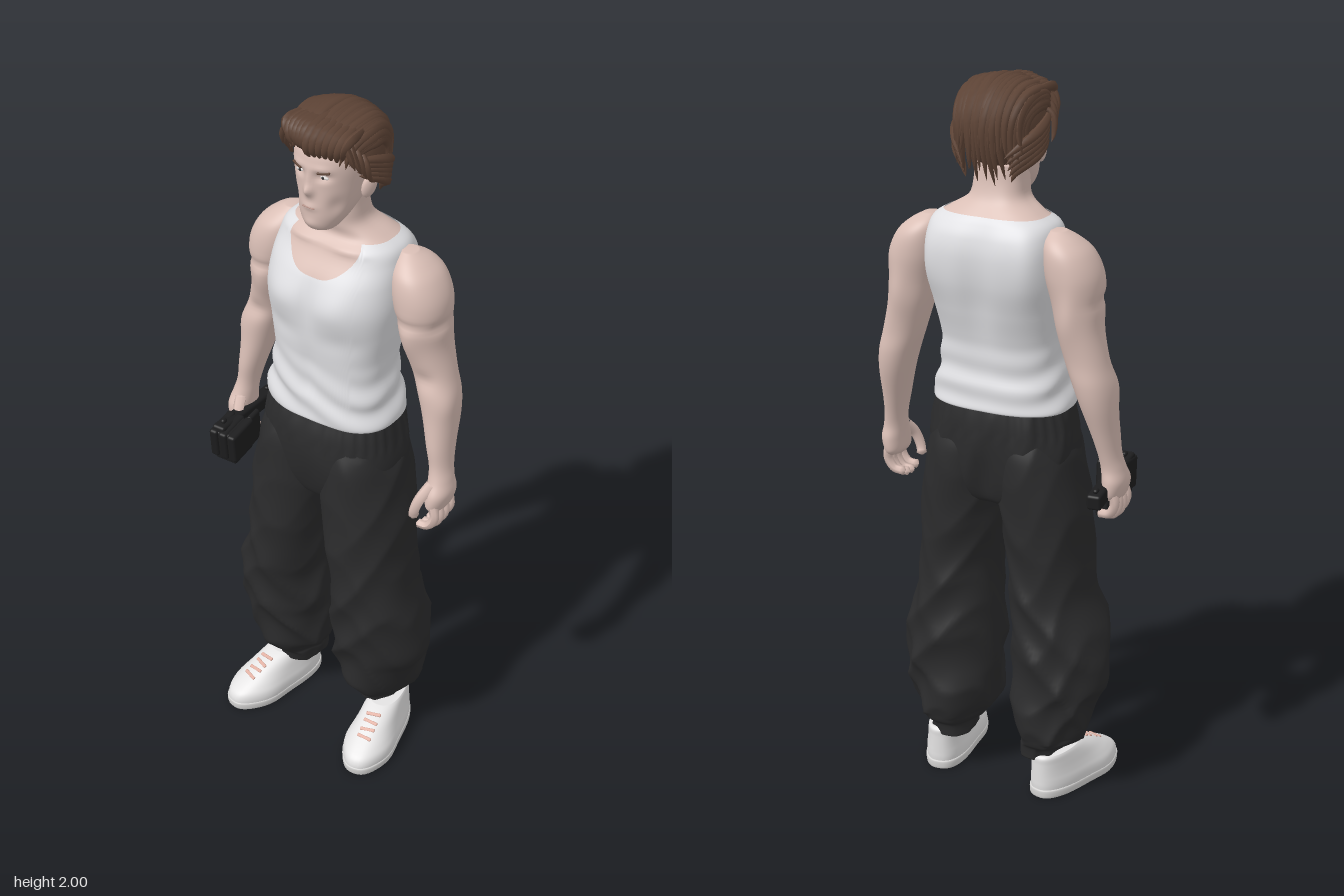
import * as THREE from 'three';
import { RoundedBoxGeometry } from 'three/addons/geometries/RoundedBoxGeometry.js';

const mat = (name, color) => Object.assign(new THREE.MeshStandardMaterial({ color }), { name });

// Smooth skin over rows of [y, xMin, xMax, zMin, zMax], listed from bottom to top
function loft(rows, { seg = 48, sub = 5, e = 2.2, warp, limit, open = false } = {}) {
  const n = rows.length - 1, count = n * sub;
  const at = t => {
    const i = Math.min(n - 1, Math.floor(t)), f = t - i;
    return rows[i].map((b, k) => {
      const a = rows[Math.max(0, i - 1)][k], c = rows[i + 1][k], d = rows[Math.min(n, i + 2)][k];
      return b + 0.5 * f * (c - a + f * (2 * a - 5 * b + 4 * c - d + f * (3 * (b - c) + d - a)));
    });
  };
  const pos = [], idx = [];
  const pw = v => Math.sign(v) * Math.abs(v) ** (2 / e);
  const top = [];
  for (let j = 0; j < seg; j++) {
    let m = n;
    if (limit) while (at(m)[0] > limit(j / seg * Math.PI * 2)) m -= 0.01;
    top.push(m);
  }
  for (let i = 0; i <= count; i++) for (let j = 0; j < seg; j++) {
    const a = j / seg * Math.PI * 2, [y, x0, x1, z0, z1] = at(top[j] * i / count);
    const k = warp ? warp(a, y) : 0;
    pos.push((x0 + x1) / 2 + pw(Math.cos(a)) * ((x1 - x0) / 2 + k), y,
      (z0 + z1) / 2 + pw(Math.sin(a)) * ((z1 - z0) / 2 + k));
  }
  for (let i = 0; i < count; i++) for (let j = 0; j < seg; j++) {
    const a = i * seg + j, b = i * seg + (j + 1) % seg, c = a + seg, d = b + seg;
    idx.push(a, c, b, b, c, d);
  }
  if (!open) [[0, 0], [n, count]].forEach(([t, i], last) => {
    const [y, x0, x1, z0, z1] = at(t), c = pos.length / 3;
    pos.push((x0 + x1) / 2, y, (z0 + z1) / 2);
    for (let j = 0; j < seg; j++) {
      const a = i * seg + j, b = i * seg + (j + 1) % seg;
      last ? idx.push(c, b, a) : idx.push(c, a, b);
    }
  });
  const g = new THREE.BufferGeometry();
  g.setAttribute('position', new THREE.Float32BufferAttribute(pos, 3));
  g.setIndex(idx);
  g.computeVertexNormals();
  return g;
}

// Soft sculpting pushes: [x, y, z, radius, radiusY, dx, dy, dz]; off-centre ones are mirrored
function sculpt(g, list) {
  const p = g.attributes.position, v = new THREE.Vector3();
  for (let i = 0; i < p.count; i++) {
    v.fromBufferAttribute(p, i);
    const { x, y, z } = v;
    for (const [bx, by, bz, r, ry, dx, dy, dz] of list) for (const s of bx ? [1, -1] : [1]) {
      const w = Math.exp(-(((x - s * bx) / r) ** 2 + ((y - by) / ry) ** 2 + ((z - bz) / Math.max(r, 0.03)) ** 2));
      v.x += s * dx * w; v.y += dy * w; v.z += dz * w;
    }
    p.setXYZ(i, v.x, v.y, v.z);
  }
  g.computeVertexNormals();
  return g;
}

// Tube whose radius follows profile(t)
function taper(points, r, profile, seg = 18, sides = 7) {
  const path = new THREE.CatmullRomCurve3(points.map(p => new THREE.Vector3(...p)));
  const g = new THREE.TubeGeometry(path, seg, r, sides), p = g.attributes.position, v = new THREE.Vector3();
  for (let i = 0; i < p.count; i++) {
    const t = Math.floor(i / (sides + 1)) / seg, c = path.getPointAt(t);
    v.fromBufferAttribute(p, i).sub(c).multiplyScalar(profile(t)).add(c);
    p.setXYZ(i, v.x, v.y, v.z);
  }
  g.computeVertexNormals();
  return g;
}

const both = rows => rows.map(([y, w, b, f]) => [y, -w, w, b, f]);
const side = (rows, s) => rows.map(([y, a, b, zb, zf]) => s > 0 ? [y, a, b, zb, zf] : [y, -b, -a, zb, zf]);

export function createModel() {
  const model = new THREE.Group();
  model.name = 'standingMan';
  const skin = mat('skin', 0xdabfb6), cloth = mat('shirtWhite', 0xdfdfe2), dark = mat('trouserBlack', 0x2b2b2c);
  const brown = mat('hairBrown', 0x5e4436), shoeMat = mat('shoeWhite', 0xe3e2e2), soleMat = mat('soleGrey', 0xd6d5d4);
  const laceMat = mat('lacePink', 0xdcab9d), metal = mat('gunBlack', 0x1d1d1e), white = mat('eyeWhite', 0xd8d4d2);
  const lip = mat('lipPink', 0xb8948a);
  cloth.side = THREE.DoubleSide;
  const add = (name, geo, m, parent = model) => {
    const o = new THREE.Mesh(geo, m);
    o.name = name;
    parent.add(o);
    return o;
  };
  let seed = 7;
  const rnd = () => (seed = seed * 16807 % 2147483647) / 2147483647;

  // Torso, neck and tank top share one set of sections
  const torso = both([
    [1.10, .183, -.148, .10], [1.14, .190, -.156, .106], [1.2, .176, -.146, .10], [1.3, .163, -.143, .093],
    [1.4, .176, -.168, .102], [1.48, .186, -.188, .102], [1.55, .183, -.192, .082], [1.6, .176, -.182, .05],
    [1.635, .163, -.163, .03], [1.66, .125, -.142, .012], [1.69, .08, -.118, .018], [1.73, .07, -.105, .022],
    [1.78, .068, -.1, .02]]);
  const muscles = [[.08, 1.49, .09, .06, .05, 0, 0, .012], [0, 1.48, .1, .02, .07, 0, 0, -.01],
    [0, 1.45, -.19, .045, .2, 0, 0, .016], [.07, 1.632, .03, .05, .01, 0, 0, .008],
    [0, 1.28, .09, .02, .1, 0, 0, -.006], [.1, 1.39, .09, .07, .03, 0, 0, -.006],
    [.145, 1.54, -.15, .05, .1, 0, 0, -.016]];
  add('chestAndNeck', sculpt(loft(torso.slice(4), { e: 2.6, seg: 64 }), muscles), skin);
  const shirtRows = torso.map(([y, a, b, c, d]) => [y, a - .005, b + .005, c - .005, d + .005]);
  const neckline = a => {
    const c = Math.abs(Math.cos(a));
    return Math.sin(a) > 0 ? 1.558 + .095 * Math.min(1, (c / .62) ** 2) : 1.653;
  };
  const wrinkle = (a, y) => .005 * Math.max(0, 1 - Math.abs(y - 1.2) / .13) * Math.sin(75 * y + 2 * Math.sin(a * 2) + 3 * Math.cos(a));
  add('tankTop', sculpt(loft(shirtRows.map((r, i) => i ? r : [1.13, ...r.slice(1)]),
    { e: 2.6, seg: 112, sub: 8, limit: neckline, open: true, warp: wrinkle }), muscles), cloth);

  // Head and face
  add('head', sculpt(loft(both([
    [1.69, .026, 0, .062], [1.70, .042, -.012, .078], [1.73, .061, -.05, .087], [1.77, .077, -.09, .089],
    [1.82, .088, -.12, .088], [1.87, .095, -.135, .09], [1.91, .094, -.135, .082], [1.95, .075, -.115, .055],
    [1.97, .04, -.08, .015]]), { seg: 96, sub: 8 }), [
    [0, 1.812, .09, .013, .016, 0, 0, .018], [0, 1.842, .09, .011, .024, 0, 0, .008],
    [.036, 1.853, .085, .02, .011, 0, 0, -.011], [.036, 1.875, .085, .028, .009, 0, 0, .004],
    [0, 1.765, .09, .02, .009, 0, 0, .005], [.065, 1.772, .065, .02, .025, -.005, 0, -.005],
    [0, 1.715, .085, .022, .014, 0, 0, .005]]), skin);
  add('mouth', new RoundedBoxGeometry(.036, .003, .005, 2, .001), lip).position.set(0, 1.765, .0925);
  for (const s of [1, -1]) {
    const ear = add('ear', new THREE.SphereGeometry(1, 20, 14).scale(.012, .034, .021), skin);
    ear.position.set(s * .103, 1.812, -.018);
    ear.rotation.set(-.2, s * -.35, s * -.2);
    const eye = add('eye', new THREE.SphereGeometry(1, 18, 10).scale(.014, .0045, .005), white);
    eye.position.set(s * .036, 1.852, .0752);
    add('iris', new THREE.SphereGeometry(1, 12, 8).scale(.004, .004, .0025), dark).position.set(s * .035, 1.852, .079);
    const brow = add('eyebrow', new RoundedBoxGeometry(.034, .005, .007, 2, .002), brown);
    brow.position.set(s * .04, 1.868, .0835);
    brow.rotation.set(0, s * .34, s * .14);
  }

  // Hair: a cap covered with pointed locks swept up and back from the forehead
  const hair = new THREE.Group();
  hair.name = 'hair';
  model.add(hair);
  add('hairCap', new THREE.SphereGeometry(1, 40, 28, 0, Math.PI * 2, 0, 1.93).rotateX(-.8)
    .scale(.11, .113, .124).translate(0, 1.873, -.037), brown, hair);
  const strand = t => .04 + .96 * Math.sin(Math.PI * t) ** .7;
  for (let layer = 0; layer < 3; layer++) for (let i = 0; i < 17; i++) {
    const u = ((i + layer / 3) / 16.7 * 2 - 1) * 1.4, c = Math.cos(u) ** .45, x = Math.sin(u);
    const from = 19 - 26 * Math.abs(x) ** 3 + rnd() * 12 + layer * 6, to = 196 + rnd() * 34 - layer * 8, k = .95 + rnd() * .07;
    const pts = [], drift = (rnd() - .5) * .03;
    for (let q = 0; q <= 8; q++) {
      const f = (from + (to - from) * q / 8) * Math.PI / 180, sn = Math.sin(f), cs = Math.cos(f);
      const m = k + (q === 8 ? .07 : q === 0 ? -.05 : 0);
      pts.push([.113 * x * m * (1 - .16 * Math.abs(cs)) + drift * (q / 8 - .5), 1.875 + .112 * c * sn * m * (sn < 0 ? 1.7 : 1),
        -.035 + (cs > 0 ? .137 * cs ** .75 : .128 * cs) * c * m]);
    }
    add('lock', taper(pts, .0135, strand, 20, 6), brown, hair);
  }
  for (let i = 0; i < 13; i++) {
    const x = (i / 6 - 1) * .085, r = Math.abs(x) * .35, h = rnd() * .012;
    add('quiffLock', taper([[x * .85, 1.898 + h - r * .3, .082 - r], [x * 1.03, 1.93 + h, .101 - r * 1.2], [x * 1.1, 1.967 + h * .6 - r * .5, .085 - r],
      [x * 1.1, 1.982 - r * .7, .03], [x, 1.983 - r * .7, -.03]], .013, strand, 16, 6), brown, hair);
  }
  for (const s of [1, -1]) {
    for (let i = 0; i < 5; i++) add('sideLock', taper([
      [s * .094, 1.9 - .013 * i, .04 - .007 * i], [s * .113, 1.885 - .012 * i, -.02], [s * .115, 1.865 - .014 * i, -.07],
      [s * (.09 - i * .004), 1.835 - .018 * i, -.125 + i * .004], [s * .065, 1.81 - .017 * i, -.15 + i * .009]], .014, strand), brown, hair);
    for (let i = 0; i < 4; i++) add('templeWisp', taper([[s * (.06 + i * .008), 1.975 - i * .018, .03 - i * .01],
      [s * (.085 + i * .01), 1.955 - i * .02, .06 - i * .015], [s * (.104 + i * .006), 1.92 - i * .024, .06 - i * .018],
      [s * (.11 + i * .005), 1.885 - i * .018, .05 - i * .02]], .009, strand, 12, 5), brown, hair);
  }

  // Trousers: hips here, legs below
  const seat = (a, y) => .003 * (1 - 2 * Math.abs(Math.sin(9 * y + 4 * Math.cos(a) + 2 * a)))
    + (y > 1.06 ? .002 * Math.sin(30 * a) : 0);
  add('trouserHips', sculpt(loft(both([[.845, .05, -.08, .05], [.865, .11, -.125, .085], [.92, .19, -.15, .11],
    [1.0, .212, -.161, .121], [1.08, .2, -.16, .118], [1.13, .189, -.152, .104], [1.145, .18, -.145, .097]]),
    { e: 2.5, seg: 120, warp: seat }), [[0, .9, -.165, .025, .12, 0, 0, .02], [0, .88, .13, .03, .07, 0, 0, -.012]]), dark);
  const leg = [[.115, .085, .2, -.135, .02], [.15, .08, .205, -.14, .03], [.17, .06, .232, -.155, .05],
    [.22, .025, .264, -.165, .075], [.3, .012, .285, -.17, .1], [.37, .016, .302, -.17, .112], [.5, .023, .278, -.163, .125],
    [.6, .026, .262, -.158, .134], [.7, .02, .249, -.153, .134], [.8, .006, .242, -.158, .133],
    [.9, -.005, .232, -.165, .13], [1.0, -.006, .214, -.161, .122], [1.06, .005, .193, -.142, .1]];

  // Arm, wrist and palm sections
  const arm = [[.915, .317, .354, -.075, .008], [.93, .307, .362, -.087, .018], [.965, .304, .37, -.09, .016],
    [1.0, .301, .363, -.085, -.002], [1.04, .296, .354, -.092, -.012], [1.10, .281, .35, -.11, -.012],
    [1.18, .257, .348, -.136, -.018], [1.24, .237, .342, -.147, -.02], [1.30, .215, .327, -.148, -.024],
    [1.38, .192, .309, -.156, -.012], [1.45, .174, .307, -.156, 0], [1.52, .155, .303, -.163, .006],
    [1.575, .15, .278, -.158, -.004], [1.608, .152, .243, -.138, -.03], [1.63, .165, .205, -.105, -.06]];

  for (const s of [1, -1]) {
    const fold = (a, y) => {
      const b = s > 0 ? a : Math.PI - a, size = y < .18 ? .004 : .003 + .007 * Math.max(0, 1 - Math.abs(y - .3) / .45);
      return size * (1 - 2 * Math.abs(Math.sin(13 * y + b + 1.3 * Math.sin(2 * b + 6 * y))))
        + size * .5 * (1 - 2 * Math.abs(Math.sin(19 * y - 2 * b + Math.sin(3 * b))));
    };
    const baggy = leg.map((r, i) => s < 0 && i > 1 && i < 7 ? [r[0], r[1] + .018, r[2] + .016, r[3], r[4]] : r);
    add('trouserLeg', loft(side(baggy, s), { e: 2.05, seg: 80, sub: 8, warp: fold }), dark);
    add('arm', sculpt(loft(side(arm, s), { seg: 56, sub: 6, e: 2.1 }), [
      [.235, 1.41, -.01, .035, .06, 0, 0, .012], [.3, 1.455, -.06, .05, .016, -.009, 0, 0],
      [.25, 1.43, -.155, .03, .06, 0, 0, -.01], [.235, 1.46, -.01, .06, .012, 0, 0, -.009],
      [.275, 1.295, -.03, .03, .025, 0, 0, -.009], [.34, 1.23, -.05, .04, .05, .006, 0, .005]]), skin);

    // Curled fingers and thumb
    const tip = t => t > .9 ? Math.sqrt(Math.max(.02, 1 - ((t - .9) / .1) ** 2)) : 1 - .2 * t;
    for (let i = 0; i < 4; i++) {
      const z = -.07 + i * .024, drop = [0, .01, .012, .005][i];
      add('finger', taper([[s * .336, .945, z], [s * .348, .905 - drop, z + .004], [s * .33, .873 - drop, z + .008],
        [s * .296, .868 - drop, z + .01]], .0145, tip), skin);
    }
    add('thumb', taper([[s * .325, .99, -.01], [s * .31, .955, .02], [s * .297, .915, .027], [s * .29, .89, .02]],
      .0165, tip), skin);

    // Shoe, modelled toe forward and turned outward
    const shoe = new THREE.Group();
    shoe.name = 'shoe';
    shoe.position.set(s * .193, 0, .03);
    shoe.rotation.y = s * .21;
    model.add(shoe);
    const broaden = geo => sculpt(geo, [[.06, .02, .07, .06, .08, .01, 0, 0]]);
    add('sole', broaden(loft(both([[0, .06, -.166, .16], [.004, .065, -.17, .165], [.022, .066, -.171, .167],
      [.026, .062, -.168, .164]]), { e: 2.5, sub: 3 })), soleMat, shoe);
    add('shoeUpper', broaden(loft(both([[.015, .063, -.166, .164], [.035, .065, -.168, .163], [.052, .064, -.168, .153],
      [.068, .06, -.168, .128], [.085, .056, -.168, .096], [.105, .052, -.168, .058], [.122, .048, -.168, .018],
      [.13, .044, -.16, -.005]]), { e: 2.4 })), shoeMat, shoe);
    for (let i = 0; i < 4; i++) {
      const lace = add('lace', new RoundedBoxGeometry(.044, .006, .01, 2, .0025), laceMat, shoe);
      lace.position.set(0, .085 + i * .0112, .093 - i * .0218);
      lace.rotation.set(.5, i % 2 ? .12 : -.12, 0);
    }
  }

  // Handgun in the right hand
  const gun = new THREE.Group();
  gun.name = 'handgun';
  gun.position.set(-.302, .94, 0);
  gun.rotation.set(-.1, .1, 0);
  model.add(gun);
  const block = (name, w, h, d, x, y, z, rx = 0) => {
    const o = add(name, new RoundedBoxGeometry(w, h, d, 3, .008), metal, gun);
    o.position.set(x, y, z);
    o.rotation.x = rx;
  };
  block('slide', .04, .042, .275, -.006, .005, -.008);
  block('frame', .036, .03, .15, -.003, -.025, .05);
  block('grip', .036, .1, .05, .008, -.04, -.02, .2);
  block('foreBody', .07, .1, .088, .014, -.03, .08, .2);
  for (const x of [-.016, .014, .042]) block('ridge', .026, .09, .1, x, -.022, .083, .2);
  block('rearSight', .014, .012, .02, -.006, .03, -.12);
  block('frontSight', .014, .014, .02, -.006, .03, .1);
  return model;
}
